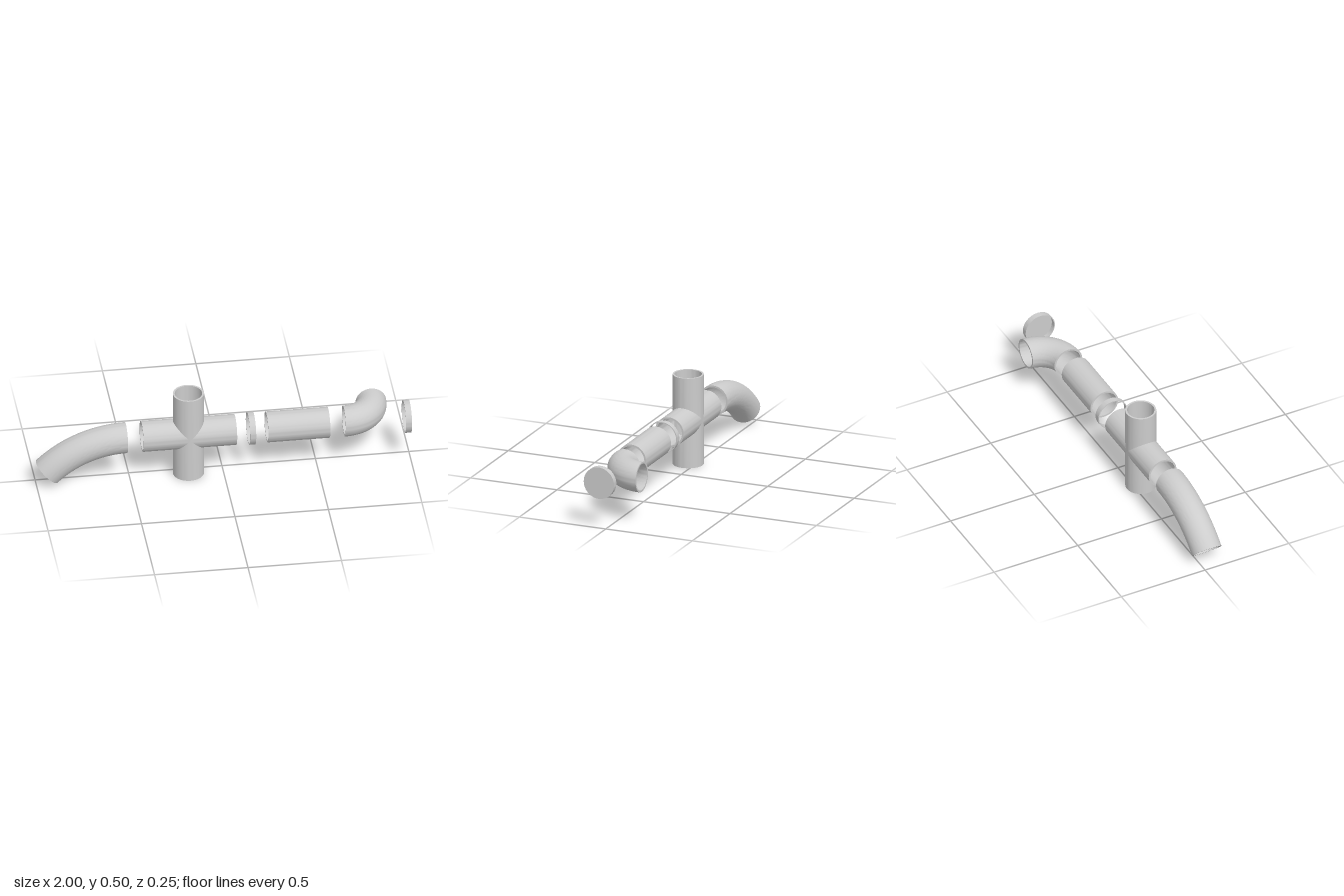
import * as THREE from 'three';
import { toCreasedNormals } from 'three/addons/utils/BufferGeometryUtils.js';

const R = 0.0825, BORE = 0.0725, FIT = 0.0875; // pipe outside, pipe inside, fitting outside
const AXIS_Y = 0.25, AXIS_Z = 0.04;

export function createModel() {
  const group = new THREE.Group();
  group.name = 'pipeFittings';
  const material = new THREE.MeshStandardMaterial({ color: 0xcccccc, side: THREE.DoubleSide });

  const lathe = (pts) => new THREE.LatheGeometry(pts.map(([r, y]) => new THREE.Vector2(r, y)), 64);

  // Hollow tube wall along +y, with rows along its length so it can be bent
  function wall(outer, inner, length, rows = 1, closeStart = true) {
    const pts = [];
    for (let i = 0; i <= rows; i++) pts.push([outer, length * i / rows]);
    for (let i = rows; i >= 0; i--) pts.push([inner, length * i / rows]);
    if (closeStart) pts.push([outer, 0]);
    return lathe(pts);
  }

  // Move every vertex by a rule (x, y) -> [x, y]
  function deform(geo, rule) {
    const p = geo.attributes.position;
    for (let i = 0; i < p.count; i++) p.setXY(i, ...rule(p.getX(i), p.getY(i)));
    return geo;
  }

  // Pipe that starts along +y and curves toward +x
  const bend = (radius, angle, rows) => deform(wall(R, BORE, angle, rows),
    (x, a) => [radius - (radius - x) * Math.cos(a), (radius - x) * Math.sin(a)]);

  function add(name, geo, x, parent = group) {
    const mesh = new THREE.Mesh(toCreasedNormals(geo, 0.6), material);
    mesh.name = name;
    mesh.position.set(x, AXIS_Y, AXIS_Z);
    parent.add(mesh);
  }

  const alongX = (geo) => geo.rotateZ(-Math.PI / 2);

  // Long 45 degree bend, dropping toward -x
  add('longBend', bend(0.598, Math.PI / 4, 28).rotateY(Math.PI).rotateZ(Math.PI / 2), -0.519);

  // Four-way cross: four arms mitred into one another
  const cross = new THREE.Group();
  cross.name = 'crossFitting';
  group.add(cross);
  for (let k = 0; k < 4; k++) {
    const arm = deform(wall(R, BORE, 1, 1, false),
      (x, t) => [x, THREE.MathUtils.lerp(Math.abs(x), 0.25, t)]);
    add('crossArm' + (k + 1), arm.rotateZ(k * Math.PI / 2), -0.185, cross);
  }

  // Open coupling ring
  add('couplingRing', alongX(wall(FIT, R, 0.032)), 0.134);

  // Straight pipe
  add('straightPipe', alongX(wall(R, BORE, 0.331)), 0.233);

  // Tight 90 degree elbow, turning to the back
  add('elbow', alongX(bend(0.167, Math.PI / 2, 28).rotateY(Math.PI / 2)), 0.647);

  // End cap, hollow on its inner side
  const cap = lathe([[0, 0.026], [R, 0.026], [R, 0], [FIT, 0], [FIT, 0.032], [0, 0.032]]);
  add('endCap', alongX(cap), 0.968);

  return group;
}
